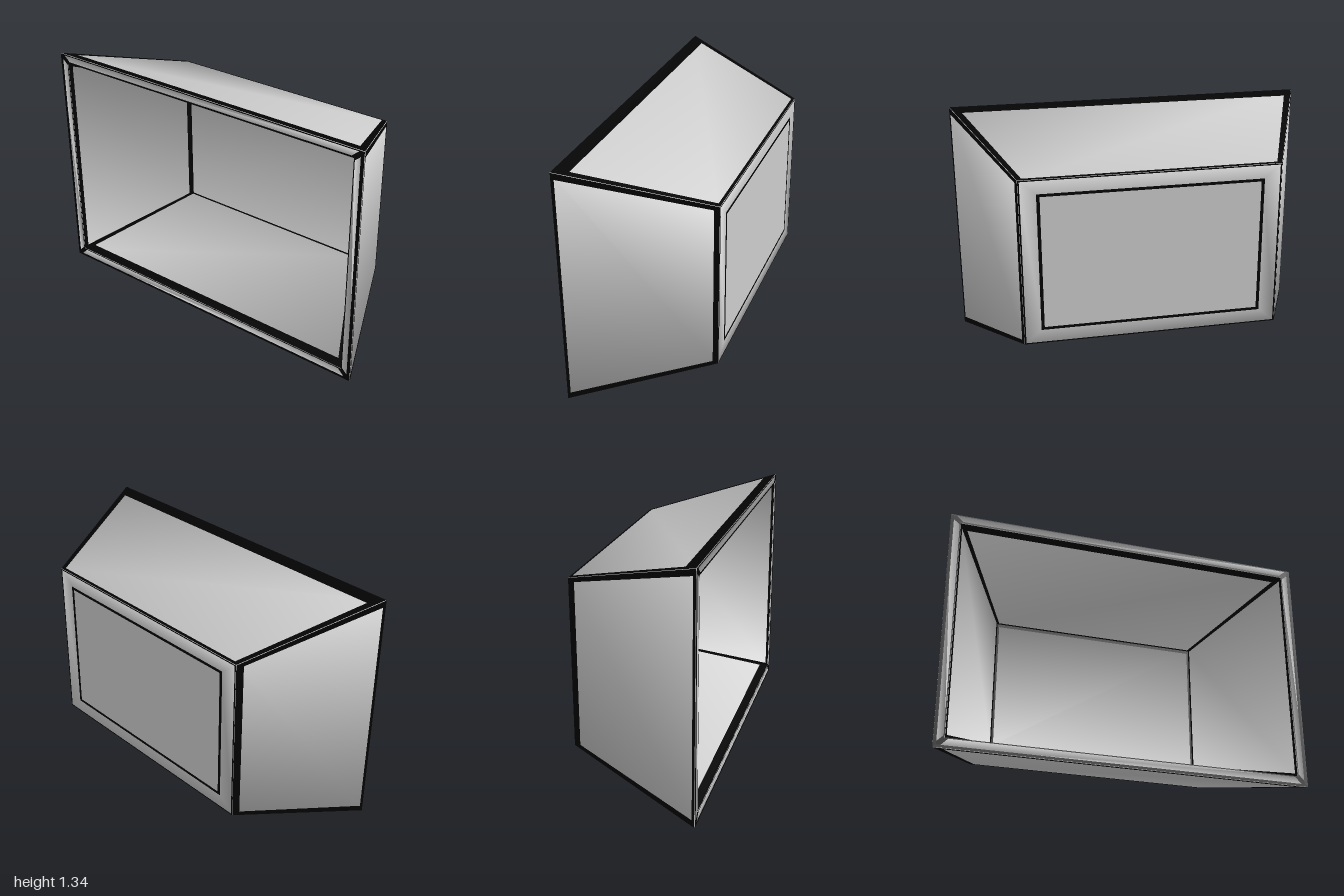
import * as THREE from 'three';

const panelMat = new THREE.MeshStandardMaterial({ color: 0xcccccc });
panelMat.name = 'lightGrey';
const edgeMat = new THREE.MeshStandardMaterial({ color: 0x030303 });
edgeMat.name = 'black';

// Rectangular loop of four corners, counter-clockwise seen from the front
const ring = (x, y0, y1, z) =>
  [[-x, y0], [x, y0], [x, y1], [-x, y1]].map(([px, py]) => new THREE.Vector3(px, py, z));

function geometryFrom(points, index) {
  const g = new THREE.BufferGeometry().setFromPoints(points);
  g.setIndex(index);
  g.computeVertexNormals();
  return g;
}

// Flat border inside a quad; margins are fractions: [start, end, sides]
function border(name, [a, b, c, d], [v0, v1, u]) {
  const normal = b.clone().sub(a).cross(d.clone().sub(a)).normalize().multiplyScalar(0.002);
  const at = (s, t) => a.clone().lerp(b, s).lerp(d.clone().lerp(c, s), t).add(normal);
  const points = [], index = [];
  const strips = [[0, 1, 0, v0], [0, 1, 1 - v1, 1], [0, u, v0, 1 - v1], [1 - u, 1, v0, 1 - v1]];
  for (const [s0, s1, t0, t1] of strips) {
    if (s1 - s0 <= 0 || t1 - t0 <= 0) continue;
    const n = points.length;
    points.push(at(s0, t0), at(s1, t0), at(s1, t1), at(s0, t1));
    index.push(n, n + 1, n + 2, n, n + 2, n + 3);
  }
  const mesh = new THREE.Mesh(geometryFrom(points, index), edgeMat);
  mesh.name = name;
  return mesh;
}

export function createModel() {
  const model = new THREE.Group();
  model.name = 'taperedOpenBox';

  // Loops from the back inset, round the outside, over the rim and inside
  const rings = [
    ring(0.6, 0.285, 1.045, -0.365),
    ring(0.7, 0.2, 1.13, -0.365),
    ring(1, 0, 1.333, 0.365),
    ring(0.945, 0.055, 1.285, 0.365),
    ring(0.605, 0.285, 1.055, -0.275),
  ];

  // Smooth shell with shared corners
  const index = [0, 3, 2, 0, 2, 1];
  for (let r = 0; r < 4; r++) {
    for (let i = 0; i < 4; i++) {
      const j = (i + 1) % 4, a = r * 4 + i, b = r * 4 + j;
      index.push(a, b, b + 4, a, b + 4, a + 4);
    }
  }
  index.push(16, 17, 18, 16, 18, 19);
  const shell = new THREE.Mesh(geometryFrom(rings.flat(), index), panelMat);
  shell.name = 'shell';
  model.add(shell);

  // Border margins per loop span, for the bottom, right, top and left panels
  const spans = [
    { name: 'backFrameEdge', m: [[0.08, 0.08, 0], [0.08, 0.08, 0], [0.08, 0.08, 0], [0.08, 0.08, 0]] },
    { name: 'outerWallEdge', m: [[0.04, 0.06, 0.02], [0.035, 0.02, 0.025], [0.02, 0.09, 0.02], [0.05, 0.02, 0.025]] },
    { name: 'rimEdge', m: [[0.25, 0.1, 0.012], [0.35, 0.1, 0.012], [0.12, 0.2, 0.012], [0.3, 0.1, 0.012]] },
    { name: 'innerWallEdge', m: [[0.07, 0.01, 0.012], [0.02, 0.015, 0.012], [0.06, 0.015, 0.012], [0.03, 0.03, 0.012]] },
  ];
  spans.forEach(({ name, m }, r) => {
    const g = new THREE.Group();
    g.name = name + 's';
    for (let i = 0; i < 4; i++) {
      const j = (i + 1) % 4;
      g.add(border(name, [rings[r][i], rings[r][j], rings[r + 1][j], rings[r + 1][i]], m[i]));
    }
    model.add(g);
  });

  // Thin outlines on the back panel, outside and inside
  const [p, q, s, t] = rings[0];
  model.add(border('backPanelEdge', [p, t, s, q], [0.008, 0.008, 0.012]));
  model.add(border('innerBackEdge', rings[4], [0.008, 0.025, 0.01]));
  return model;
}
